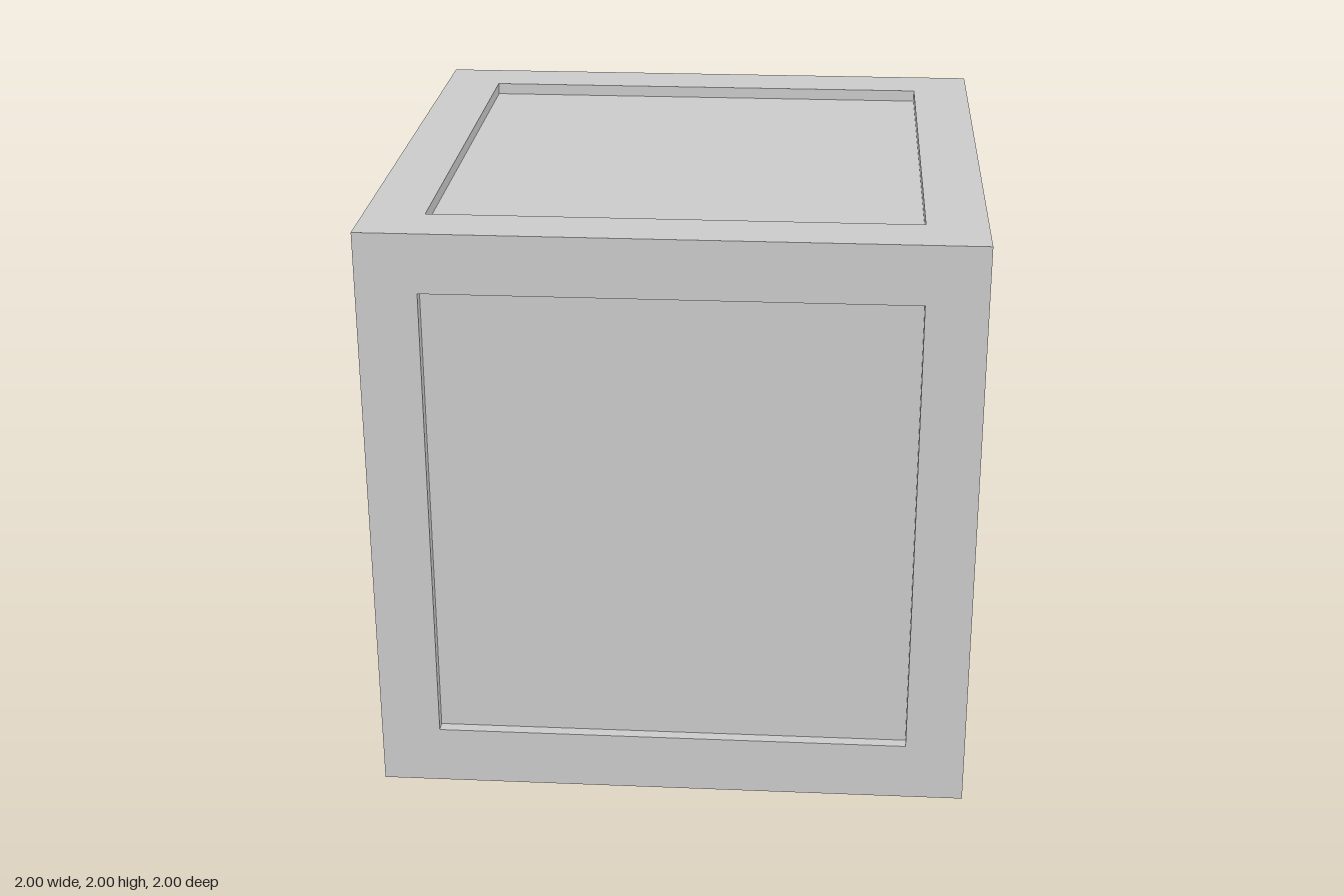
import * as THREE from 'three';
import { mergeGeometries } from 'three/addons/utils/BufferGeometryUtils.js';

const HALF = 1;       // half the crate's edge
const INNER = 0.8;    // half the recessed panel's edge
const DEPTH = 0.04;   // how far the panels are sunk

function square(half, Type) {
  return new Type([
    new THREE.Vector2(-half, -half), new THREE.Vector2(half, -half),
    new THREE.Vector2(half, half), new THREE.Vector2(-half, half),
  ]);
}

// Flat border of one side together with the four walls of its recess, facing +z
function frameGeometry() {
  const border = square(HALF, THREE.Shape);
  border.holes.push(square(INNER, THREE.Path));
  const parts = [new THREE.ShapeGeometry(border).translate(0, 0, HALF)];
  for (let i = 0; i < 4; i++) {
    parts.push(new THREE.PlaneGeometry(2 * INNER, DEPTH)
      .rotateX(-Math.PI / 2)
      .translate(0, -INNER, HALF - DEPTH / 2)
      .rotateZ(i * Math.PI / 2));
  }
  return mergeGeometries(parts);
}

export function createModel() {
  const model = new THREE.Group();
  model.name = 'crate';
  const material = new THREE.MeshStandardMaterial({ color: 0xcccccc });
  const frame = frameGeometry();
  const panel = new THREE.PlaneGeometry(2 * INNER, 2 * INNER).translate(0, 0, HALF - DEPTH);

  // Six identical sides turned outwards: name, turn about x, turn about y
  const q = Math.PI / 2;
  const sides = [
    ['front', 0, 0], ['left', 0, q], ['back', 0, 2 * q], ['right', 0, -q],
    ['top', -q, 0], ['bottom', q, 0],
  ];
  for (const [name, rx, ry] of sides) {
    const side = new THREE.Group();
    side.name = name + 'Side';
    const frameMesh = new THREE.Mesh(frame, material);
    frameMesh.name = name + 'Frame';
    const panelMesh = new THREE.Mesh(panel, material);
    panelMesh.name = name + 'Panel';
    side.add(frameMesh, panelMesh);
    side.rotation.set(rx, ry, 0);
    side.position.y = HALF;
    model.add(side);
  }
  return model;
}
